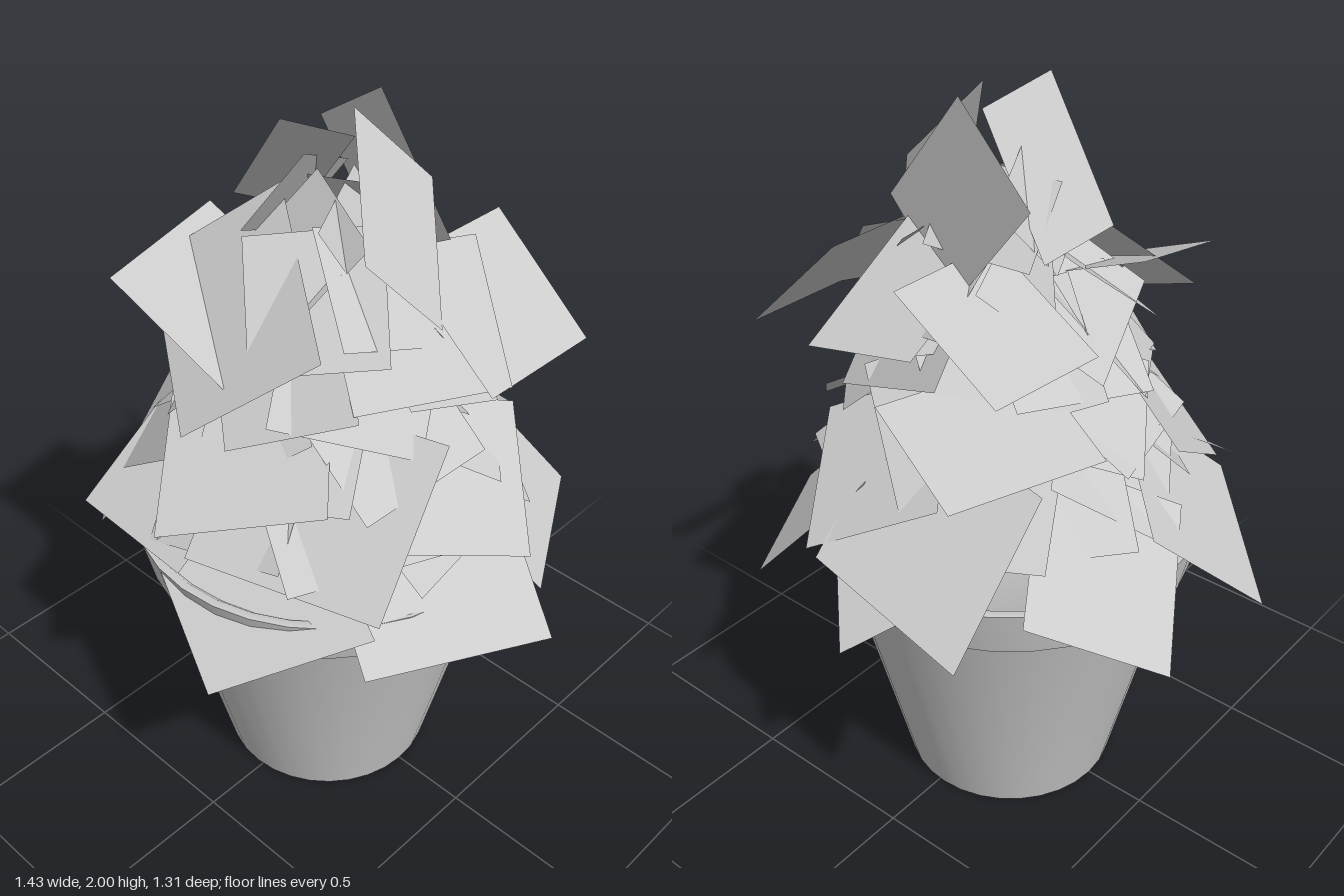
import * as THREE from 'three';
import { toCreasedNormals } from 'three/addons/utils/BufferGeometryUtils.js';

const material = new THREE.MeshStandardMaterial({ color: 0xcccccc, side: THREE.DoubleSide });
const rad = THREE.MathUtils.degToRad;

// Seeded jitter in -1..1
let seed = 7;
function jitter() {
  seed = (seed * 16807) % 2147483647;
  return (seed / 2147483647) * 2 - 1;
}

// Flat leaf card spanned by an outer corner and its two neighbouring corners
function cornerCard([corner, sideA, sideB]) {
  const origin = new THREE.Vector3(...corner);
  const u = new THREE.Vector3(...sideA).sub(origin);
  const v = new THREE.Vector3(...sideB).sub(origin);
  const n = new THREE.Vector3().crossVectors(u, v).normalize();
  const geometry = new THREE.PlaneGeometry(1, 1).translate(0.5, 0.5, 0);
  geometry.applyMatrix4(new THREE.Matrix4().makeBasis(u, v, n).setPosition(origin));
  return new THREE.Mesh(geometry, material);
}

// Flat leaf card in a ring: azimuth runs from the front towards +x,
// tilt swings the lower edge outwards, roll spins the card in its own plane
function ringCard(azimuth, radius, y, tilt, roll, w, h) {
  const card = new THREE.Mesh(new THREE.PlaneGeometry(w, h), material);
  const a = rad(azimuth);
  card.position.set(Math.sin(a) * radius, y, Math.cos(a) * radius);
  card.rotation.set(-rad(tilt), a, rad(roll), 'YXZ');
  return card;
}

function leafGroup(name, cards) {
  const group = new THREE.Group();
  group.name = name;
  cards.forEach((card) => { card.name = 'leafCard'; });
  return group.add(...cards);
}

function createPot() {
  const profile = [
    [0, 0], [0.3, 0], [0.303, 0.012], [0.47, 0.705], [0.475, 0.72], [0.5, 0.722],
    [0.503, 0.735], [0.53, 0.855], [0.51, 0.86], [0.49, 0.84], [0, 0.84],
  ].map(([r, y]) => new THREE.Vector2(r, y));
  const pot = new THREE.Mesh(toCreasedNormals(new THREE.LatheGeometry(profile, 32), 1.2), material);
  pot.position.x = -0.02;
  pot.name = 'pot';
  return pot;
}

// Large cards drooping over the rim
const LOWER = [
  [[0.2, 0.72, 0.65], [-0.16, 0.86, 0.5], [0.47, 0.87, 0.34]],
  [[0.715, 0.76, -0.06], [0.485, 0.775, 0.39], [0.4, 1.04, -0.2]],
  [[0.62, 0.975, -0.065], [0.4, 1.06, 0.27], [0.36, 1.2, -0.3]],
  [[0.585, 0.76, -0.185], [0.345, 0.77, -0.6], [0.32, 1.07, -0.04]],
  [[0.15, 0.935, -0.6], [-0.16, 1.1, -0.45], [0.33, 1.15, -0.32]],
  [[-0.01, 0.72, -0.66], [-0.3, 0.95, -0.4], [0.25, 0.95, -0.4]],
  [[-0.39, 0.86, -0.66], [0.105, 0.935, -0.61], [-0.36, 1.15, -0.3]],
  [[-0.705, 0.74, -0.23], [-0.44, 0.9, -0.47], [-0.5, 0.98, 0.1]],
  [[-0.715, 0.71, 0.19], [-0.38, 0.85, 0.5], [-0.55, 1, -0.1]],
  [[-0.43, 0.9, 0.51], [-0.03, 0.9, 0.53], [-0.42, 1.15, 0.15]],
  [[0.5, 0.945, 0.36], [0, 0.97, 0.53], [0.435, 1.285, 0.05]],
];

// Broad cards forming the outer layer of the shrub
const UPPER = [
  [[-0.025, 1.31, 0.49], [0.245, 1.545, 0.29], [-0.415, 1.53, 0.225]],
  [[0.045, 1.14, 0.65], [0.36, 1.22, 0.39], [-0.255, 1.25, 0.32]],
  [[0.48, 1.39, -0.42], [0.475, 1.39, -0.05], [0.2, 1.665, -0.39]],
  [[0.29, 1.39, 0.23], [0.48, 1.39, -0.12], [0.05, 1.66, 0.1]],
  [[-0.36, 1.57, 0.4], [0.02, 1.42, 0.39], [-0.38, 1.64, 0.05]],
  [[-0.285, 1.2, -0.55], [-0.47, 1.25, -0.2], [0.02, 1.33, -0.46]],
  [[-0.31, 1.42, -0.41], [-0.4, 1.48, -0.15], [0.05, 1.58, -0.35]],
  [[0.265, 1.4, -0.435], [-0.01, 1.42, -0.365], [0.18, 1.68, -0.14]],
  [[-0.51, 1.17, 0.05], [-0.42, 0.95, 0.4], [-0.2, 1.4, 0.1]],
];

// Crossed cards at the tip
const CROWN = [
  [[-0.025, 2, 0.14], [-0.28, 1.7, 0.06], [0.055, 1.93, -0.02]],
  [[0.02, 2, -0.145], [-0.26, 1.82, -0.23], [0.26, 1.7, -0.13]],
  [[0.05, 2, -0.02], [0.18, 1.825, -0.15], [0.2, 1.7, 0.1]],
];

// Inner shingled rows: count, radius, y, tilt, card size, first azimuth
const ROWS = [
  [9, 0.33, 1.1, 49, 0.41, 8],
  [8, 0.28, 1.26, 50, 0.39, 25],
  [7, 0.23, 1.41, 49, 0.37, 5],
  [6, 0.18, 1.56, 46, 0.36, 30],
  [4, 0.1, 1.7, 35, 0.28, 10],
];

export function createModel() {
  seed = 7;
  const model = new THREE.Group();
  model.name = 'pottedShrub';

  const rows = ROWS.flatMap(([count, radius, y, tilt, size, start]) =>
    Array.from({ length: count }, (_, i) => ringCard(
      start + (i * 360) / count + jitter() * 10,
      radius + jitter() * 0.02,
      y + jitter() * 0.04,
      tilt + jitter() * 9,
      jitter() * 35,
      size * (1.02 + jitter() * 0.12),
      size * (0.94 + jitter() * 0.12),
    )));

  model.add(
    createPot(),
    leafGroup('lowerLeaves', LOWER.map(cornerCard)),
    leafGroup('upperLeaves', UPPER.map(cornerCard)),
    leafGroup('innerLeaves', rows),
    leafGroup('topLeaves', CROWN.map(cornerCard)),
  );
  return model;
}
